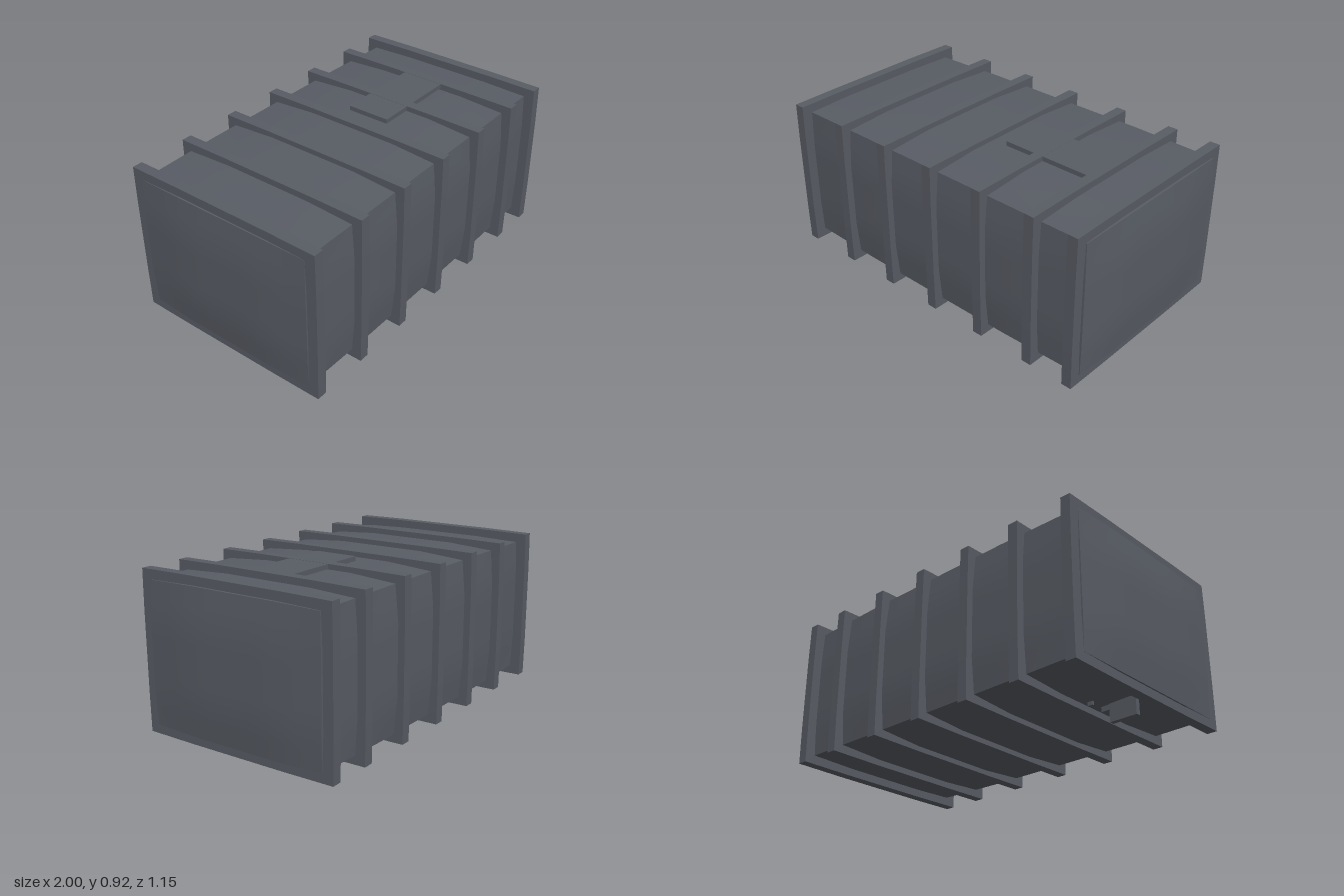
import * as THREE from 'three';

const MID_Y = 0.487;

export function createModel() {
  const model = new THREE.Group();
  const steel = new THREE.MeshStandardMaterial({ color: 0x585c64 });
  steel.name = 'darkGreySteel';

  function add(name, geometry, x = 0, y = 0, z = 0) {
    const mesh = new THREE.Mesh(geometry, steel);
    mesh.name = name;
    mesh.position.set(x, y, z);
    model.add(mesh);
    return mesh;
  }
  const box = (name, w, h, d, x, y, z) => add(name, new THREE.BoxGeometry(w, h, d), x, y, z);

  // Tank body: a box whose faces swell gently towards a flat middle
  const half = [0.974, 0.375, 0.512];
  const swell = [0.026, 0.025, 0.025];
  const body = new THREE.BoxGeometry(2, 2, 2, 8, 8, 8);
  const pos = body.attributes.position;
  const rise = (t) => Math.min(1, 2 * (1 - Math.abs(t)));
  for (let i = 0; i < pos.count; i++) {
    const p = [pos.getX(i), pos.getY(i), pos.getZ(i)];
    const q = p.map((t, k) => {
      const a = rise(p[(k + 1) % 3]);
      const b = rise(p[(k + 2) % 3]);
      return t * (half[k] + swell[k] * (0.25 * (a + b) + 0.5 * a * b));
    });
    pos.setXYZ(i, ...q);
  }
  body.computeVertexNormals();
  add('tankBody', body, 0, MID_Y, 0);

  // Reinforcing ribs: closed rectangular frames with slightly bowed sides
  const bowed = (path, w, h, bow) => {
    const points = [
      [-w, -h], [-w / 2, -h - bow], [w / 2, -h - bow], [w, -h],
      [w + bow, -h / 2], [w + bow, h / 2], [w, h],
      [w / 2, h + bow], [-w / 2, h + bow], [-w, h],
      [-w - bow, h / 2], [-w - bow, -h / 2],
    ];
    path.setFromPoints(points.map(([x, y]) => new THREE.Vector2(x, y)));
    return path;
  };
  const frame = bowed(new THREE.Shape(), 0.571, 0.425, 0.003);
  frame.holes.push(bowed(new THREE.Path(), 0.49, 0.35, 0));
  const ribWidth = 0.056;
  const ribGeometry = new THREE.ExtrudeGeometry(frame, { depth: ribWidth, bevelEnabled: false });
  ribGeometry.translate(0, 0, -ribWidth / 2).rotateY(Math.PI / 2);
  for (const x of [-0.945, -0.618, -0.291, 0.036, 0.364, 0.691, 0.941]) {
    add('rib', ribGeometry, x, MID_Y, 0);
  }

  // Flat plate on top, bridging two ribs
  box('topPlate', 0.535, 0.025, 0.245, 0.422, 0.9015, -0.002);

  // Drain fin and small fittings underneath
  box('drainFin', 0.155, 0.1, 0.026, -0.812, 0.05, 0);
  box('drainBracket', 0.06, 0.035, 0.02, -0.715, 0.085, 0);
  box('fittingPin', 0.03, 0.055, 0.01, -0.725, 0.067, 0.08);
  box('fittingArm', 0.012, 0.012, 0.08, -0.725, 0.075, 0.045);
  box('fittingTab', 0.03, 0.02, 0.012, -0.69, 0.082, -0.1);

  return model;
}
